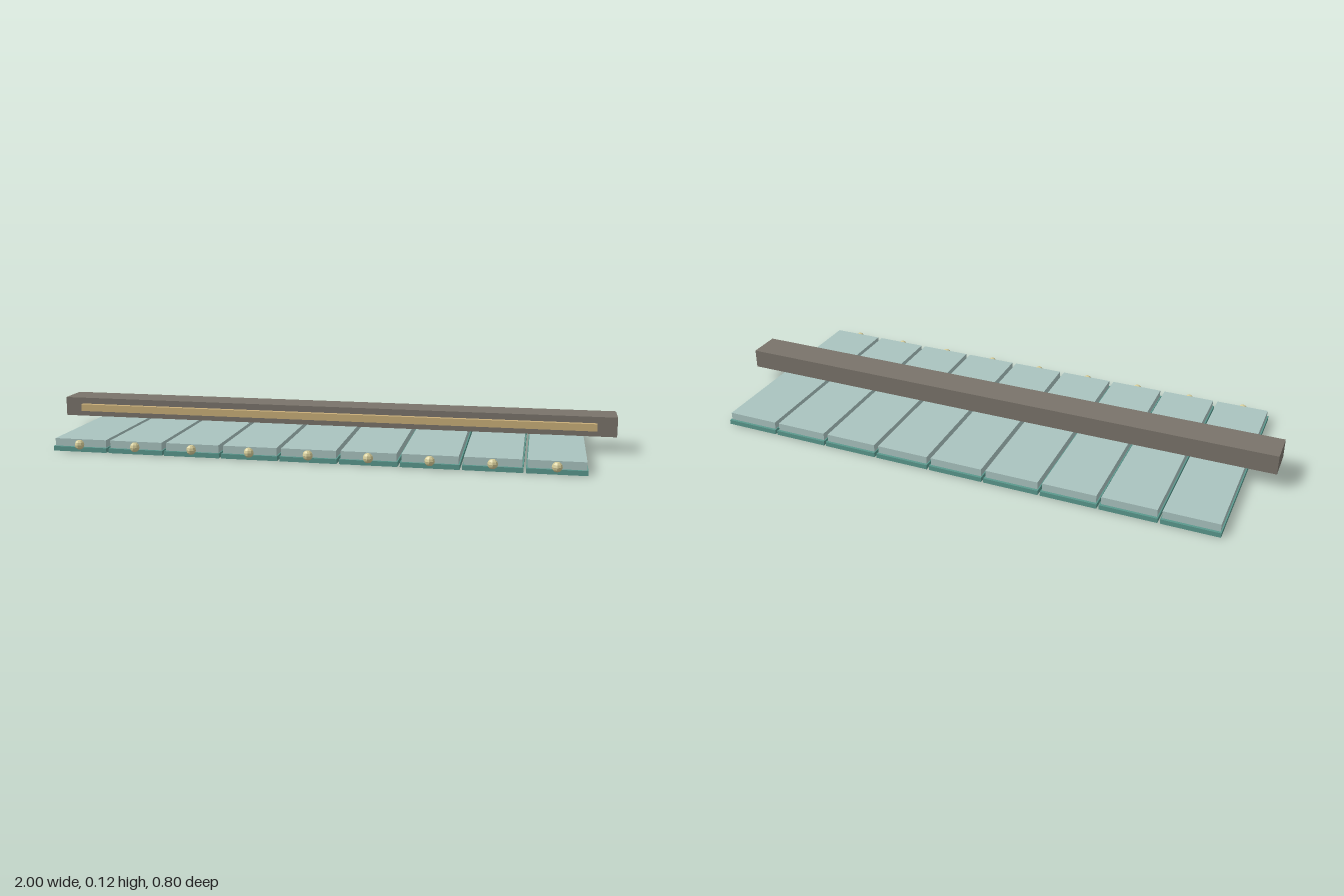
import * as THREE from 'three';

const material = (name, color, flatShading = false) => {
  const m = new THREE.MeshStandardMaterial({ color, flatShading });
  m.name = name;
  return m;
};

// Box given by its minimum and maximum corners
function block(name, mat, [x0, y0, z0], [x1, y1, z1]) {
  const mesh = new THREE.Mesh(new THREE.BoxGeometry(x1 - x0, y1 - y0, z1 - z0), mat);
  mesh.name = name;
  mesh.position.set((x0 + x1) / 2, (y0 + y1) / 2, (z0 + z1) / 2);
  return mesh;
}

export function createModel() {
  const model = new THREE.Group();
  model.name = 'slattedPanel';
  const paleTeal = material('paleTeal', 0xa9c3bf);
  const deepTeal = material('deepTeal', 0x5a988d);
  const greyBrown = material('greyBrown', 0x79736a);
  const tan = material('tan', 0xc9ae78);
  const cream = material('cream', 0xd4cb98, true);

  // Nine drawers side by side: wide base, inset top slab, front knob
  const knobGeometry = new THREE.SphereGeometry(0.017, 8, 6);
  for (let i = -4; i <= 4; i++) {
    const drawer = new THREE.Group();
    drawer.name = 'drawer';
    drawer.position.x = i * 0.2;
    const knob = new THREE.Mesh(knobGeometry, cream);
    knob.name = 'knob';
    knob.position.set(0, 0.025, 0.383);
    drawer.add(
      block('drawerBase', deepTeal, [-0.096, 0, -0.4], [0.096, 0.016, 0.382]),
      block('drawerTop', paleTeal, [-0.092, 0.016, -0.391], [0.092, 0.042, 0.373]),
      knob
    );
    model.add(drawer);
  }

  // Raised crossbeam with a strip along its front
  model.add(
    block('beam', greyBrown, [-1, 0.057, -0.067], [1, 0.125, 0.05]),
    block('beamStrip', tan, [-0.933, 0.078, 0.05], [0.933, 0.103, 0.068])
  );
  return model;
}
